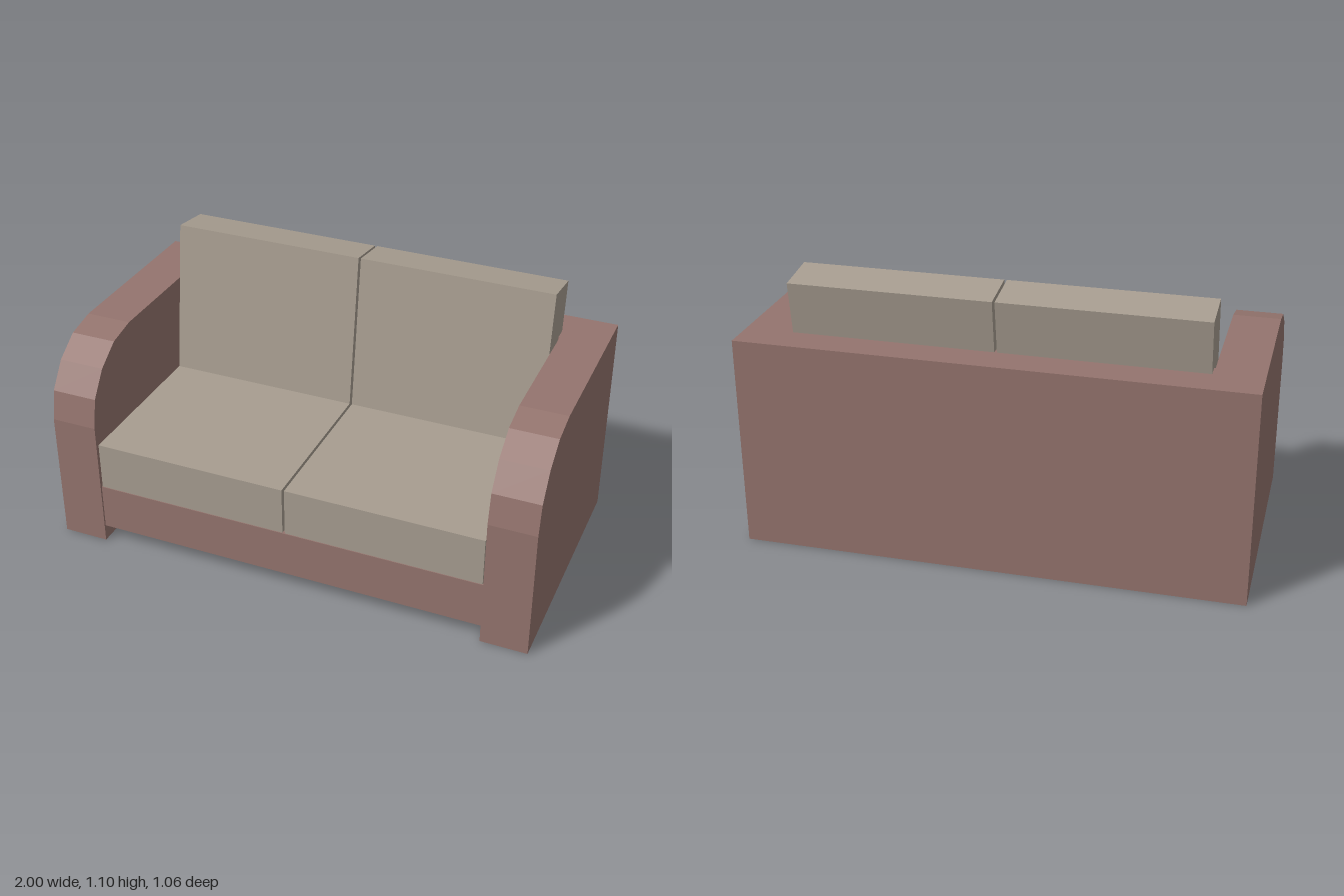
import * as THREE from 'three';

export function createModel() {
  const sofa = new THREE.Group();
  sofa.name = 'sofa';

  const frameFabric = new THREE.MeshStandardMaterial({ color: 0x94746e });
  frameFabric.name = 'dusty rose frame';
  const cushionFabric = new THREE.MeshStandardMaterial({ color: 0xa79d90 });
  cushionFabric.name = 'taupe cushion';
  frameFabric.flatShading = cushionFabric.flatShading = true;

  // Box given by its minimum and maximum corners
  function addBox(name, min, max, material) {
    const size = max.map((v, i) => v - min[i]);
    const mesh = new THREE.Mesh(new THREE.BoxGeometry(...size), material);
    mesh.position.set(...max.map((v, i) => (v + min[i]) / 2));
    mesh.name = name;
    sofa.add(mesh);
    return mesh;
  }

  // Arms: side profile (z, y) with a faceted, rounded front top corner
  const armWidth = 0.188;
  const profile = [
    [-0.53, 0], [0.53, 0], [0.53, 0.545], [0.507, 0.667], [0.435, 0.77],
    [0.333, 0.84], [0.21, 0.865], [-0.53, 0.865],
  ];
  const armShape = new THREE.Shape(profile.map(([z, y]) => new THREE.Vector2(-z, y)));
  const armGeometry = new THREE.ExtrudeGeometry(armShape, { depth: armWidth, bevelEnabled: false });
  armGeometry.rotateY(Math.PI / 2); // extrusion runs along +x, profile along z
  for (const [name, x] of [['leftArm', 1 - armWidth], ['rightArm', -1]]) {
    const arm = new THREE.Mesh(armGeometry, frameFabric);
    arm.position.x = x;
    arm.name = name;
    sofa.add(arm);
  }

  // Backrest and raised seat base between the arms
  addBox('backrest', [-0.812, 0, -0.53], [0.812, 0.865, -0.337], frameFabric);
  addBox('seatBase', [-0.812, 0.068, -0.337], [0.812, 0.262, 0.522], frameFabric);

  // Two seat cushions and two reclined back cushions
  const tilt = 0.134, thickness = 0.18, height = 0.68;
  for (const [side, s] of [['left', 1], ['right', -1]]) {
    const x0 = Math.min(s * 0.005, s * 0.807), x1 = Math.max(s * 0.005, s * 0.807);
    addBox(side + 'SeatCushion', [x0, 0.265, -0.335], [x1, 0.465, 0.522], cushionFabric);

    // Pivot is the top front edge, so the cushion hangs from it
    const geometry = new THREE.BoxGeometry(x1 - x0, height, thickness);
    geometry.translate((x0 + x1) / 2, -height / 2, -thickness / 2);
    const back = new THREE.Mesh(geometry, cushionFabric);
    back.position.set(0, 1.099, -0.243);
    back.rotation.x = -tilt;
    back.name = side + 'BackCushion';
    sofa.add(back);
  }

  return sofa;
}
